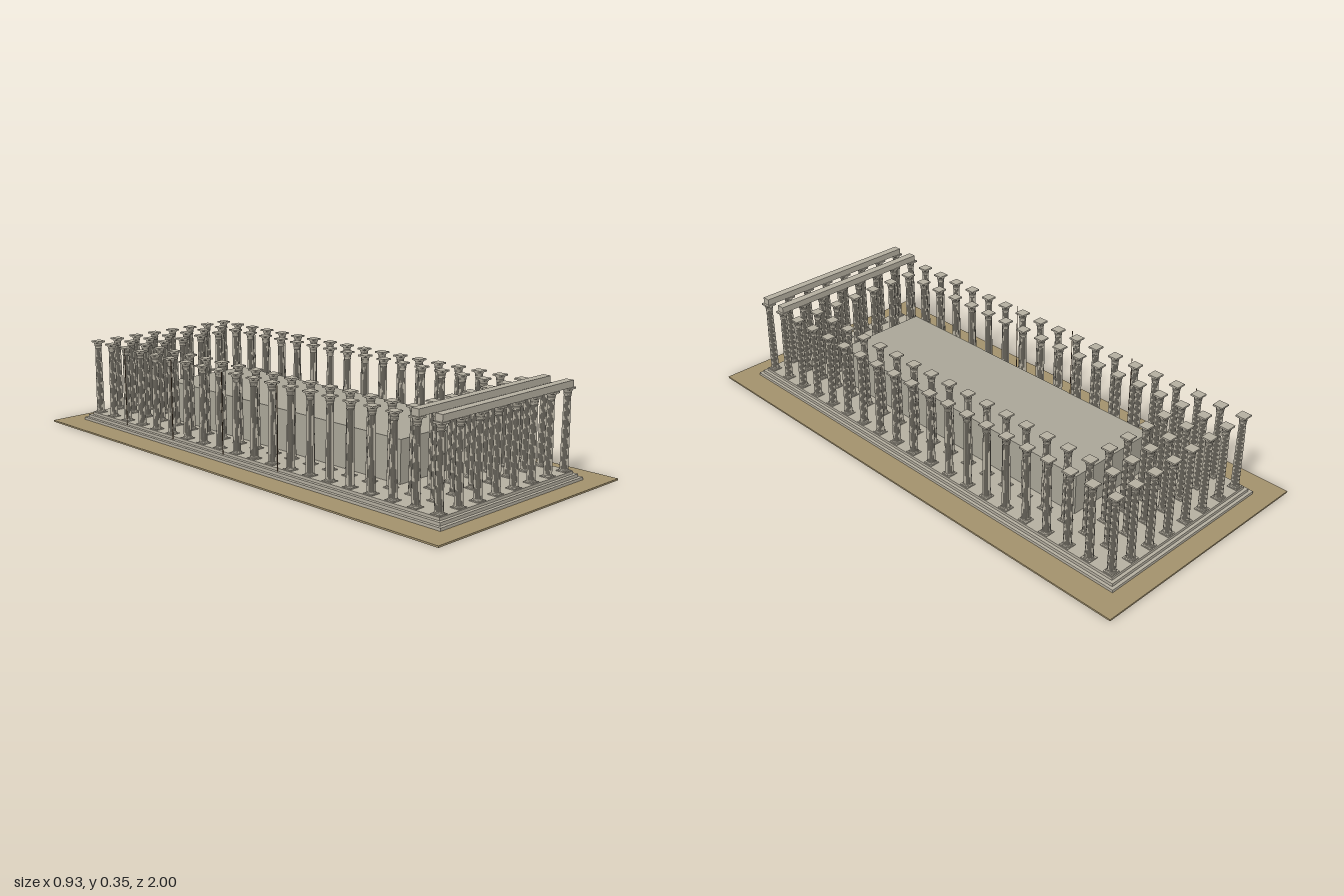
import * as THREE from 'three';
import { mergeGeometries } from 'three/addons/utils/BufferGeometryUtils.js';

const stone = new THREE.MeshStandardMaterial({ color: 0xb5afa0 });
const flatStone = new THREE.MeshStandardMaterial({ color: 0xb5afa0, flatShading: true });
const wall = new THREE.MeshStandardMaterial({ color: 0xaaa698 });
const earth = new THREE.MeshStandardMaterial({ color: 0xa2916c });
const rust = new THREE.MeshStandardMaterial({ color: 0x6b5238 });

const FLOOR = 0.037, PITCH = 0.0923;
const COLS = 8, ROWS = 20;
const colX = i => (i - (COLS - 1) / 2) * PITCH;
const rowZ = j => (j - (ROWS - 1) / 2) * 0.0925;

// Box placed by its bottom height
function block(name, w, y0, y1, d, material, x = 0, z = 0) {
  const mesh = new THREE.Mesh(new THREE.BoxGeometry(w, y1 - y0, d), material);
  mesh.position.set(x, (y0 + y1) / 2, z);
  mesh.name = name;
  return mesh;
}

// Turned piece from [radius, height] pairs
const turned = (points, sides) =>
  new THREE.LatheGeometry(points.map(p => new THREE.Vector2(...p)), sides);

function columnGeometry() {
  // Fluted, slightly tapering shaft
  const shaft = turned([[0.0146, 0.007], [0.0142, 0.09], [0.0132, 0.18], [0.012, 0.262]], 40);
  const p = shaft.attributes.position;
  for (let i = 0; i < p.count; i++) {
    const flute = Math.floor(i / 4) % 2 ? 0.9 : 1;
    p.setXYZ(i, p.getX(i) * flute, p.getY(i), p.getZ(i) * flute);
  }
  // Moulded base
  const base = turned([[0.0175, 0.002], [0.0182, 0.004], [0.0172, 0.006], [0.0155, 0.007], [0.0145, 0.01]], 16);
  // Flared capital with two leaf rings
  const capital = turned([[0.0118, 0.258], [0.0132, 0.26], [0.0122, 0.263], [0.0145, 0.271],
    [0.0132, 0.272], [0.0165, 0.28], [0.0182, 0.284]], 16);
  const plinth = new THREE.BoxGeometry(0.037, 0.003, 0.037).translate(0, 0.0015, 0);
  const abacus = new THREE.BoxGeometry(0.038, 0.006, 0.038).translate(0, 0.286, 0);
  return mergeGeometries([plinth, base, shaft, capital, abacus]);
}

export function createModel() {
  const model = new THREE.Group();
  model.name = 'ruinedTemple';

  // Ground and stepped platform
  model.add(block('ground', 0.934, 0, 0.006, 2, earth));
  const steps = [[0.738, 0.006, 0.016, 1.85], [0.714, 0.016, 0.027, 1.826], [0.69, 0.027, FLOOR, 1.802]];
  for (const [w, y0, y1, d] of steps) model.add(block('step', w, y0, y1, d, stone));

  // Inner chamber and its door
  model.add(block('chamber', 0.37, FLOOR, 0.188, 1.2, wall));
  model.add(block('door', 0.074, FLOOR, 0.178, 0.006, wall, 0, 0.6));

  // Double colonnade along the sides, triple at both ends
  const columns = new THREE.Group();
  columns.name = 'columns';
  const geometry = columnGeometry();
  for (let j = 0; j < ROWS; j++) {
    for (let i = 0; i < COLS; i++) {
      const side = i < 2 || i >= COLS - 2, end = j < 3 || j >= ROWS - 3;
      if (!side && !end) continue;
      const column = new THREE.Mesh(geometry, flatStone);
      column.name = 'column';
      column.position.set(colX(i), FLOOR, rowZ(j));
      columns.add(column);
    }
  }
  model.add(columns);

  // Beams over the two front rows
  for (const j of [ROWS - 1, ROWS - 2])
    model.add(block('beam', 0.668, 0.326, 0.35, 0.03, stone, 0, rowZ(j)));

  // Thin poles along the right edge
  for (const z of [0.193, -0.093, -0.379, -0.665]) {
    const pole = new THREE.Mesh(new THREE.CylinderGeometry(0.0015, 0.0015, 0.298, 6), rust);
    pole.name = 'pole';
    pole.position.set(-0.349, 0.176, z);
    model.add(pole);
  }
  return model;
}
